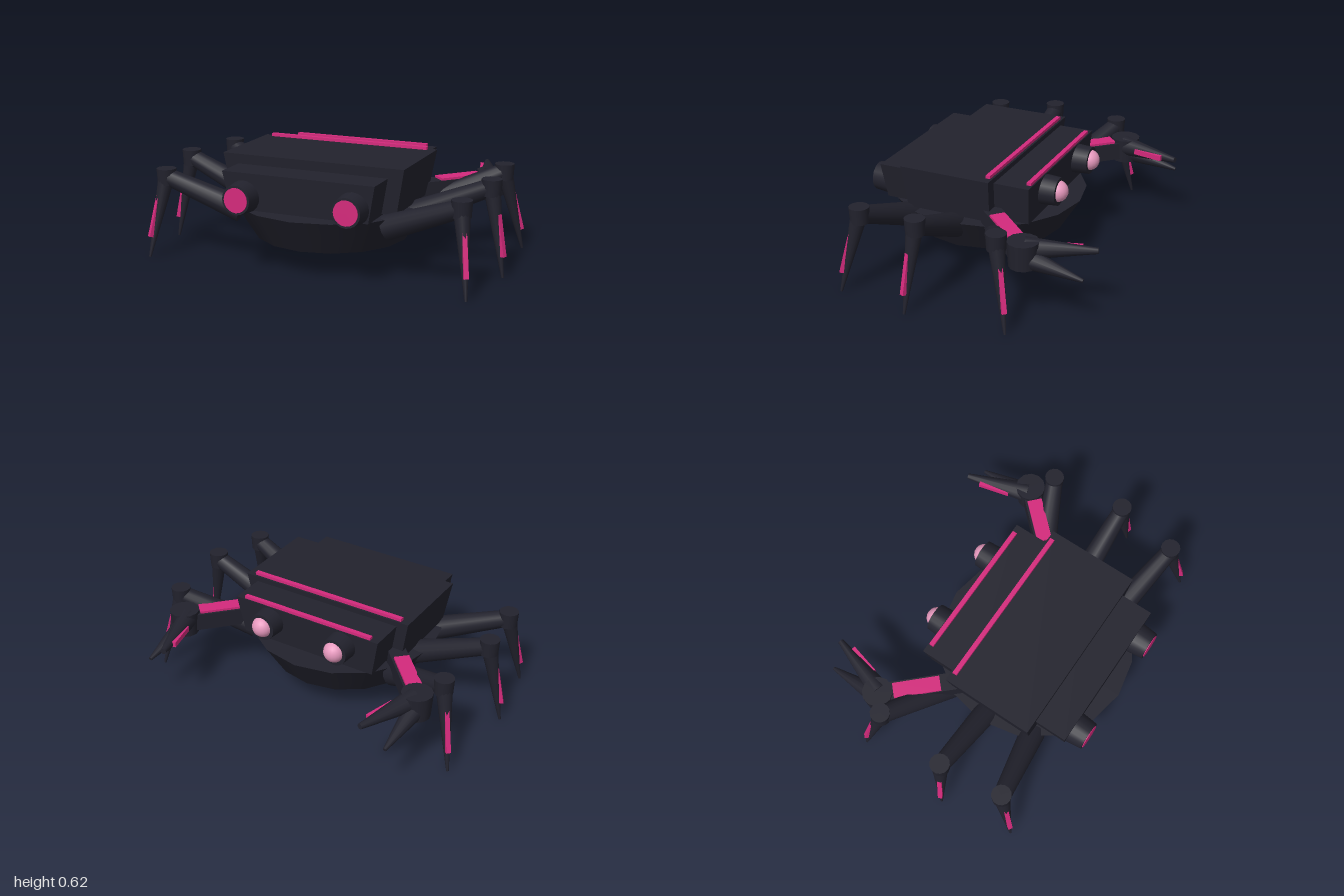
import * as THREE from 'three';

const shell = new THREE.MeshStandardMaterial({ color: 0x22222d });
shell.name = 'dark shell';
const accent = new THREE.MeshStandardMaterial({ color: 0xd42a7c });
accent.name = 'pink glow';
const lens = new THREE.MeshStandardMaterial({ color: 0xe698bd });
lens.name = 'pale pink lens';

const V = (x, y, z) => new THREE.Vector3(x, y, z);

function add(parent, name, geometry, material, x = 0, y = 0, z = 0) {
  const mesh = new THREE.Mesh(geometry, material);
  mesh.name = name;
  mesh.position.set(x, y, z);
  parent.add(mesh);
  return mesh;
}

// Box given by its half width and limits, narrowing slightly towards its underside
function hullBox(parent, name, halfWidth, y0, y1, z0, z1, taper) {
  const geometry = new THREE.BoxGeometry(halfWidth * 2, y1 - y0, z1 - z0);
  const p = geometry.attributes.position;
  for (let i = 0; i < p.count; i++) {
    if (p.getY(i) < 0) {
      p.setX(i, p.getX(i) * (1 - taper / halfWidth));
      p.setZ(i, p.getZ(i) - Math.sign(p.getZ(i)) * 0.016);
    }
  }
  geometry.computeVertexNormals();
  add(parent, name, geometry, shell, 0, (y0 + y1) / 2, (z0 + z1) / 2);
}

// Tapered round limb between two points
function limb(parent, name, a, b, ra, rb, sides = 14) {
  const mesh = add(parent, name, new THREE.CylinderGeometry(rb, ra, a.distanceTo(b), sides), shell);
  mesh.position.copy(a).lerp(b, 0.5);
  mesh.quaternion.setFromUnitVectors(V(0, 1, 0), b.clone().sub(a).normalize());
}

// Straight bar from a to b; its thickness points along "out"
function bar(parent, name, a, b, width, thickness, out, material) {
  const along = b.clone().sub(a).normalize();
  const side = along.clone().cross(out).normalize();
  const normal = side.clone().cross(along);
  const mesh = add(parent, name, new THREE.BoxGeometry(width, a.distanceTo(b), thickness), material);
  mesh.position.copy(a).lerp(b, 0.5);
  mesh.quaternion.setFromRotationMatrix(new THREE.Matrix4().makeBasis(side, along, normal));
}

function addLeg(parent, name, s, hip, knee, foot) {
  const leg = new THREE.Group();
  leg.name = name;
  const [h, k, f] = [hip, knee, foot].map(([x, y, z]) => V(x * s, y, z));
  limb(leg, 'upperLeg', h, k, 0.07, 0.048);
  add(leg, 'knee', new THREE.CylinderGeometry(0.055, 0.05, 0.09, 14), shell, k.x, k.y, k.z);
  limb(leg, 'lowerLeg', k, f, 0.046, 0.007);
  // Glow strip, sunk into the shin at its upper end
  const out = V(f.x - k.x, 0, f.z - k.z).normalize();
  const shift = out.clone().multiplyScalar(0.023);
  const at = (y) => k.clone().lerp(f, (k.y - y) / k.y).add(shift);
  bar(leg, 'shinStrip', at(0.34), at(0.115), 0.025, 0.022, out, accent);
  parent.add(leg);
}

function addClaw(parent, s) {
  const claw = new THREE.Group();
  claw.name = s > 0 ? 'leftClaw' : 'rightClaw';
  const P = (x, y, z) => V(x * s, y, z);
  bar(claw, 'clawArm', P(0.43, 0.37, -0.03), P(0.75, 0.37, -0.37), 0.1, 0.1, V(0, 1, 0), shell);
  bar(claw, 'armStrip', P(0.52, 0.425, -0.12), P(0.70, 0.425, -0.31), 0.085, 0.016, V(0, 1, 0), accent);
  add(claw, 'wrist', new THREE.CylinderGeometry(0.085, 0.075, 0.14, 12), shell, 0.755 * s, 0.37, -0.375);
  limb(claw, 'innerFinger', P(0.735, 0.39, -0.38), P(0.625, 0.398, -0.73), 0.06, 0.016, 12);
  limb(claw, 'outerFinger', P(0.755, 0.35, -0.38), P(0.753, 0.285, -0.70), 0.06, 0.01, 12);
  bar(claw, 'fingerStrip', P(0.665, 0.394, -0.47), P(0.62, 0.397, -0.645), 0.03, 0.022, P(-1, 0, 0), accent);
  parent.add(claw);
}

export function createModel() {
  const crab = new THREE.Group();
  crab.name = 'mechanicalCrab';

  // Belly and stacked upper hull
  add(crab, 'belly', new THREE.CylinderGeometry(0.55, 0.43, 0.193, 16), shell, 0, 0.2365, 0.17);
  hullBox(crab, 'mainHull', 0.525, 0.35, 0.6, -0.07, 0.455, 0.045);
  hullBox(crab, 'headHull', 0.455, 0.35, 0.57, -0.27, 0.05, 0.04);
  hullBox(crab, 'engineHull', 0.435, 0.34, 0.545, 0.22, 0.635, 0.04);

  // Glow strips across the top
  add(crab, 'mainStripe', new THREE.BoxGeometry(0.95, 0.03, 0.026), accent, 0, 0.602, -0.045);
  add(crab, 'headStripe', new THREE.BoxGeometry(0.81, 0.03, 0.026), accent, 0, 0.571, -0.25);

  for (const s of [1, -1]) {
    const side = s > 0 ? 'left' : 'right';

    // Eye in its socket
    const socket = add(crab, side + 'EyeSocket', new THREE.CylinderGeometry(0.085, 0.078, 0.11, 20), shell, 0.232 * s, 0.483, -0.298);
    socket.rotation.x = Math.PI / 2;
    add(crab, side + 'Eye', new THREE.SphereGeometry(0.06, 20, 14), lens, 0.232 * s, 0.485, -0.34);

    // Engine nozzle with glowing outlet
    const nozzle = add(crab, side + 'Nozzle', new THREE.CylinderGeometry(0.08, 0.092, 0.11, 20), shell, 0.312 * s, 0.415, 0.663);
    nozzle.rotation.x = Math.PI / 2;
    const outlet = add(crab, side + 'Outlet', new THREE.CylinderGeometry(0.068, 0.068, 0.008, 20), accent, 0.312 * s, 0.415, 0.718);
    outlet.rotation.x = Math.PI / 2;

    // Walking legs and claw
    addLeg(crab, side + 'FrontLeg', s, [0.46, 0.28, -0.09], [0.855, 0.462, -0.275], [0.95, 0, -0.365]);
    addLeg(crab, side + 'MiddleLeg', s, [0.45, 0.28, 0.16], [0.905, 0.478, 0.155], [0.99, 0, 0.192]);
    addLeg(crab, side + 'RearLeg', s, [0.43, 0.28, 0.435], [0.855, 0.448, 0.515], [0.92, 0, 0.617]);
    addClaw(crab, s);
  }
  return crab;
}
